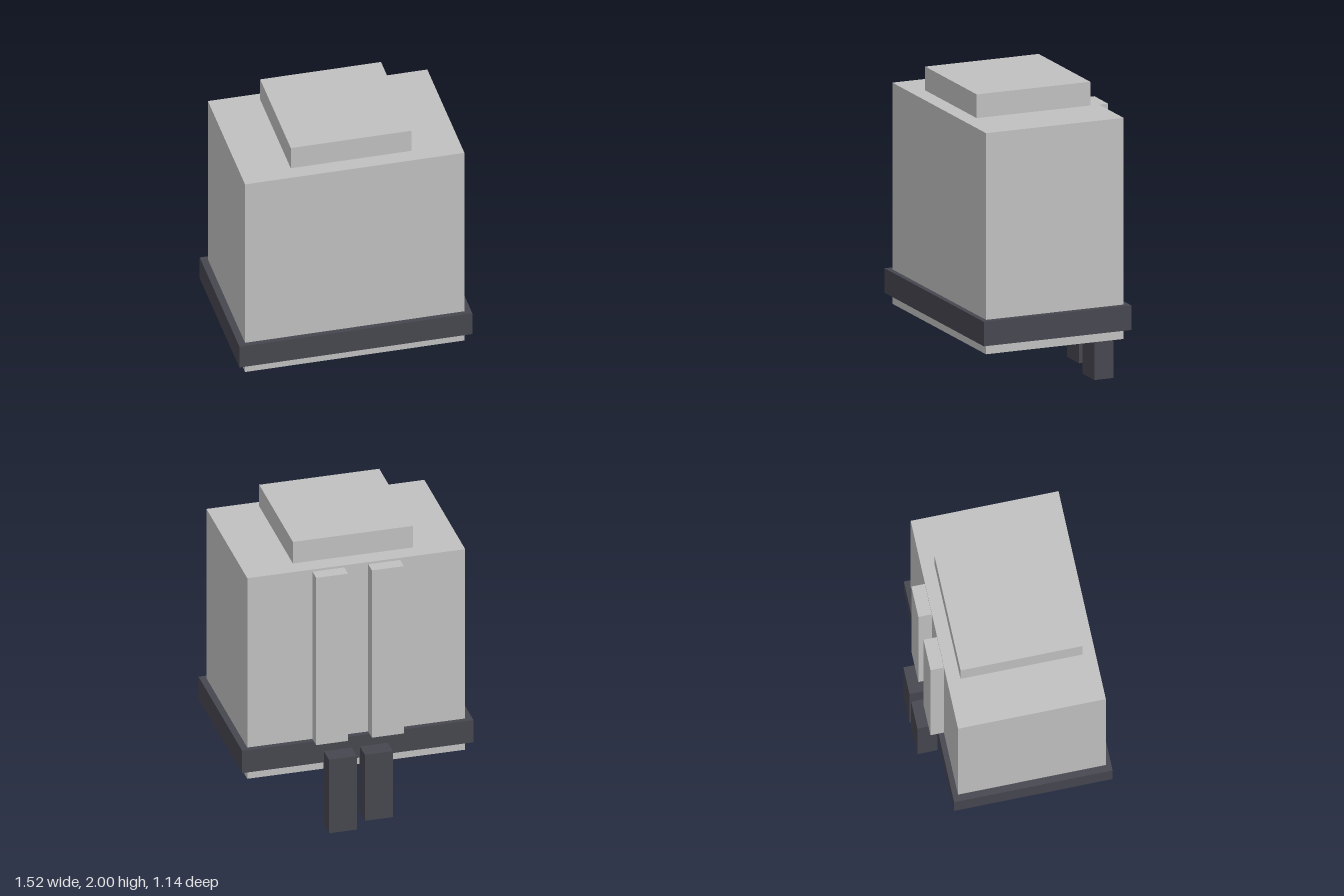
import * as THREE from 'three';

export function createModel() {
  const model = new THREE.Group();
  const lightGrey = new THREE.MeshStandardMaterial({ color: 0xc0c0c0 });
  lightGrey.name = 'lightGrey';
  const charcoal = new THREE.MeshStandardMaterial({ color: 0x46464f });
  charcoal.name = 'charcoal';

  // Box given by its extents on each axis
  function block(name, material, [x0, x1], [y0, y1], [z0, z1]) {
    const mesh = new THREE.Mesh(new THREE.BoxGeometry(x1 - x0, y1 - y0, z1 - z0), material);
    mesh.position.set((x0 + x1) / 2, (y0 + y1) / 2, (z0 + z1) / 2);
    mesh.name = name;
    model.add(mesh);
  }

  // Main housing, the band around it and the raised lid
  block('body', lightGrey, [-0.718, 0.716], [0.385, 1.83], [-0.42, 0.538]);
  block('band', charcoal, [-0.763, 0.759], [0.45, 0.61], [-0.455, 0.572]);
  block('lid', lightGrey, [-0.398, 0.392], [1.845, 2], [-0.335, 0.455]);

  // Vertical rails on the back
  block('rightRail', lightGrey, [-0.29, -0.08], [0.61, 1.815], [-0.507, -0.42]);
  block('leftRail', lightGrey, [0.077, 0.287], [0.61, 1.815], [-0.507, -0.42]);

  // Hanging tabs below the rails, one slightly longer
  block('rightTab', charcoal, [-0.2, -0.015], [0.055, 0.53], [-0.573, -0.442]);
  block('leftTab', charcoal, [0.038, 0.222], [0, 0.53], [-0.573, -0.442]);

  return model;
}
